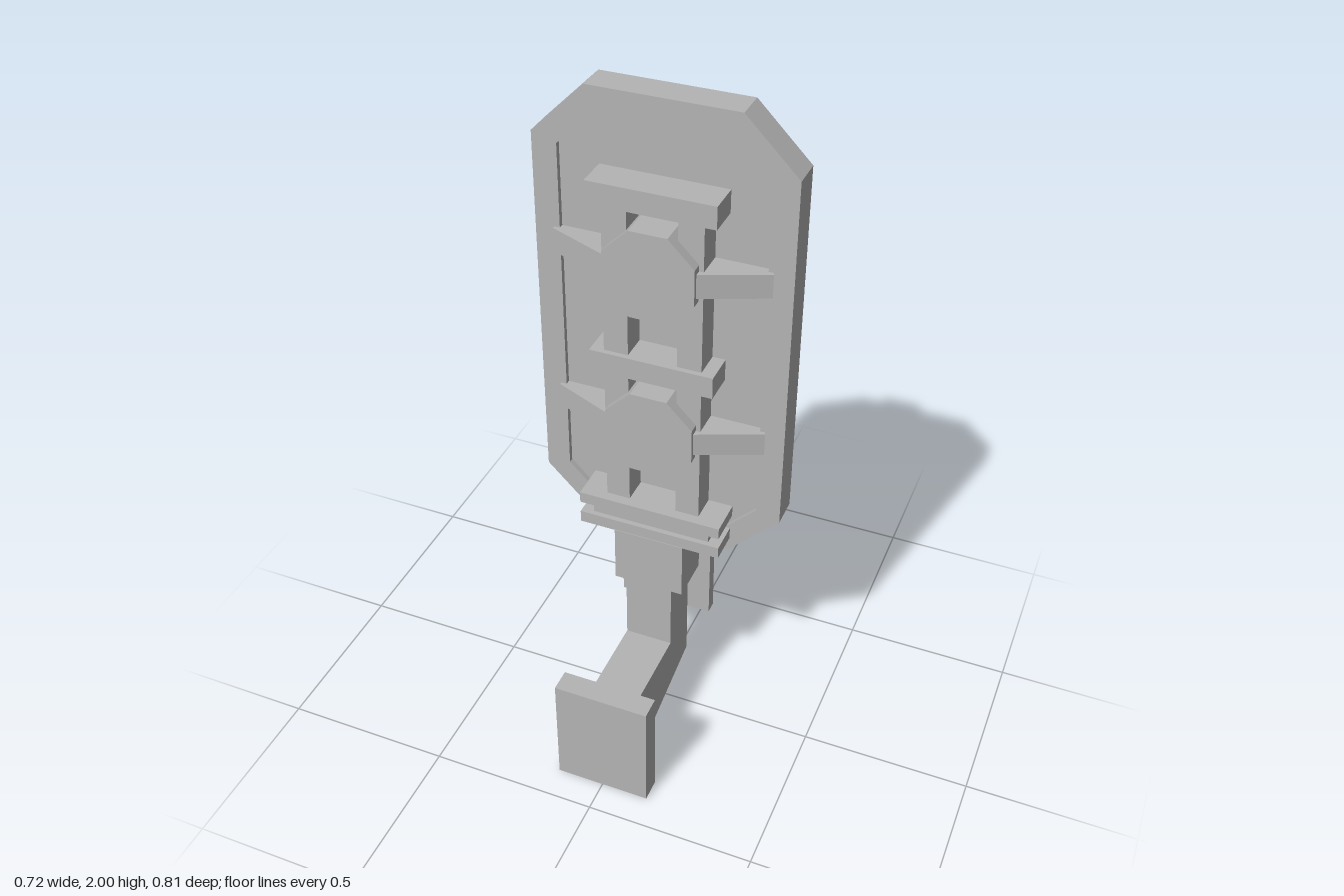
import * as THREE from 'three';

const grey = new THREE.MeshStandardMaterial({ color: 0xb4b4b4 });
grey.name = 'grey metal';

function add(parent, name, geometry) {
  const mesh = new THREE.Mesh(geometry, grey);
  mesh.name = name;
  parent.add(mesh);
  return mesh;
}

// Box given by its extents on each axis
function box(parent, name, x0, x1, y0, y1, z0, z1) {
  const g = new THREE.BoxGeometry(x1 - x0, y1 - y0, z1 - z0);
  g.translate((x0 + x1) / 2, (y0 + y1) / 2, (z0 + z1) / 2);
  return add(parent, name, g);
}

const toShape = (pts) => new THREE.Shape(pts.map(([x, y]) => new THREE.Vector2(x, y)));

// Outline in x/y extruded between two z values
function slab(shape, z0, z1) {
  const g = new THREE.ExtrudeGeometry(shape, { depth: z1 - z0, bevelEnabled: false });
  return g.translate(0, 0, z0);
}

// Rectangle with chamfered corners
function chamfered(w, y0, y1, cx, cy) {
  return [
    [w - cx, y0], [w, y0 + cy], [w, y1 - cy], [w - cx, y1],
    [cx - w, y1], [-w, y1 - cy], [-w, y0 + cy], [cx - w, y0],
  ];
}

const octagon = (r) => chamfered(r, -r, r, r * 0.58, r * 0.58);

function createLamp(y) {
  const lamp = new THREE.Group();
  lamp.name = 'lamp';
  lamp.position.y = y;

  // Housing through the panel with a raised rim around the lens
  add(lamp, 'lampHousing', slab(toShape(octagon(0.127)), -0.138, 0.05));
  const rim = toShape(octagon(0.127));
  rim.holes.push(toShape(octagon(0.102)));
  add(lamp, 'lensRim', slab(rim, -0.155, -0.138));

  // Stepped hood: each strip ends at its own depth
  const outer = [[0.07, 0.16], [0.12, 0.11], [0.14, 0.09], [0.16, 0.06], [0.16, 0], [0.16, -0.035]];
  const inner = [[0.062, 0.14], [0.106, 0.096], [0.124, 0.078], [0.14, 0.053], [0.14, 0], [0.14, -0.035]];
  const ends = [-0.39, -0.375, -0.34, -0.3, -0.245];
  const top = [outer[0], [-0.07, 0.16], [-0.062, 0.14], inner[0]];
  add(lamp, 'hoodTop', slab(toShape(top), -0.408, -0.115));

  for (const s of [-1, 1]) {
    ends.forEach((end, i) => {
      const strip = [outer[i], outer[i + 1], inner[i + 1], inner[i]].map(([x, v]) => [s * x, v]);
      add(lamp, 'hoodStrip', slab(toShape(strip), end, -0.115));
    });

    // Sloping side brace, outlined in x/z and extruded upward
    const brace = [[0.1, 0.05], [0.305, -0.037], [0.297, -0.06], [0.1, -0.06]].map(([x, z]) => [s * x, -z]);
    const g = slab(toShape(brace), -0.035, 0.035);
    g.rotateX(-Math.PI / 2);
    add(lamp, 'sideBrace', g);
  }
  return lamp;
}

export function createModel() {
  const model = new THREE.Group();
  model.name = 'signal';

  // Panel: raised frame with a recessed plate
  const frame = toShape(chamfered(0.358, 0.633, 2, 0.15, 0.15));
  const opening = chamfered(0.288, 0.70, 1.932, 0.105, 0.105);
  frame.holes.push(toShape(opening));
  add(model, 'panelFrame', slab(frame, -0.135, -0.045));
  add(model, 'panelPlate', slab(toShape(opening), -0.125, -0.06));

  // Rear rails and cross bars
  for (const s of [-1, 1]) {
    box(model, 'rail', s * 0.105 - 0.035, s * 0.105 + 0.035, 0.69, 1.74, -0.06, 0.02);
  }
  for (const y of [1.215, 1.72]) box(model, 'crossBar', -0.177, 0.177, y, y + 0.065, -0.06, 0.035);

  for (const y of [1.05, 1.55]) model.add(createLamp(y));

  // Clamp joining the rails to the bracket
  box(model, 'clampUpper', -0.213, 0.213, 0.75, 0.785, -0.06, 0.05);
  box(model, 'clampCore', -0.177, 0.177, 0.71, 0.755, -0.06, 0.035);
  box(model, 'clampLower', -0.213, 0.213, 0.678, 0.715, -0.06, 0.05);

  // Bracket: collar, bent arm and plates
  box(model, 'collar', -0.105, 0.105, 0.5, 0.68, -0.088, 0.052);
  const profile = [[0.05, 0.6], [0.05, 0.285], [0.35, 0.285], [0.35, 0.035], [-0.086, 0.145], [-0.086, 0.6]];
  const arm = slab(toShape(profile.map(([z, y]) => [-z, y])), -0.071, 0.071);
  arm.rotateY(Math.PI / 2);
  add(model, 'bracketArm', arm);
  box(model, 'backPlate', -0.141, 0.141, 0.322, 0.602, -0.122, -0.086);
  box(model, 'mountingPlate', -0.141, 0.141, 0, 0.355, 0.34, 0.407);

  return model;
}
